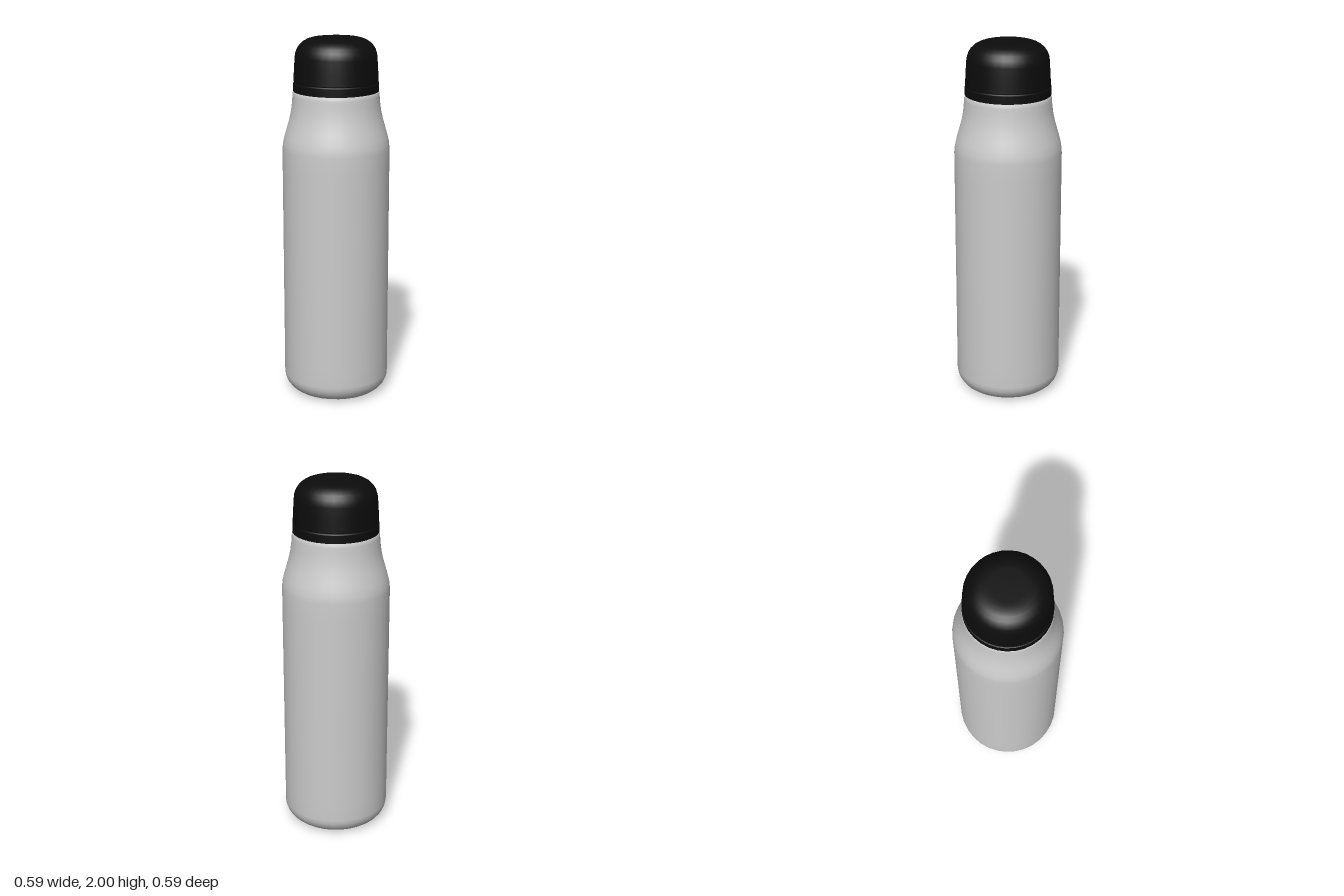
import * as THREE from 'three';

const SIDES = 32;

// Points on a quarter-ellipse-like corner, from angle a to angle b (degrees).
function corner(cx, cy, rx, ry, a, b, steps = 6) {
  return Array.from({ length: steps + 1 }, (_, i) => {
    const t = THREE.MathUtils.degToRad(a + ((b - a) * i) / steps);
    return [cx + rx * Math.cos(t), cy + ry * Math.sin(t)];
  });
}

// Revolves a [radius, height] profile, listed from bottom to top.
function turned(name, profile, material) {
  const points = profile.map(([r, y]) => new THREE.Vector2(Math.max(r, 0), y));
  const mesh = new THREE.Mesh(new THREE.LatheGeometry(points, SIDES), material);
  mesh.name = name;
  return mesh;
}

export function createModel() {
  const bottle = new THREE.Group();
  bottle.name = 'bottle';
  const grey = new THREE.MeshStandardMaterial({ color: 0xcccccc });
  const black = new THREE.MeshStandardMaterial({ color: 0x0c0c0c });

  // Body: flat base, rounded foot, straight wall, shoulder and neck
  bottle.add(turned('body', [
    [0, 0], [0.17, 0],
    ...corner(0.193, 0.1, 0.1, 0.1, -90, 0),
    [0.293, 0.2], [0.293, 1.3], [0.293, 1.4],
    [0.289, 1.435], [0.281, 1.47], [0.268, 1.515], [0.255, 1.56],
    [0.245, 1.605], [0.239, 1.65], [0.236, 1.69],
    [0.234, 1.707], [0.228, 1.715], [0.2, 1.717],
  ], grey));

  // Cap: separate band at the rim, a fine groove, then the domed cover
  const cap = new THREE.Group();
  cap.name = 'cap';
  cap.add(turned('capUnderside', [[0, 1.715], [0.232, 1.715]], black));
  cap.add(turned('capBand', [[0.232, 1.715], [0.232, 1.758]], black));
  cap.add(turned('capGroove', [
    [0.232, 1.758], [0.226, 1.761], [0.226, 1.767], [0.23, 1.77],
  ], black));
  cap.add(turned('capCover', [
    [0.23, 1.77], [0.226, 1.84], [0.222, 1.9],
    ...corner(0.112, 1.9, 0.109, 0.099, 10, 90),
    [0.09, 2], [0, 2],
  ], black));
  bottle.add(cap);

  return bottle;
}
